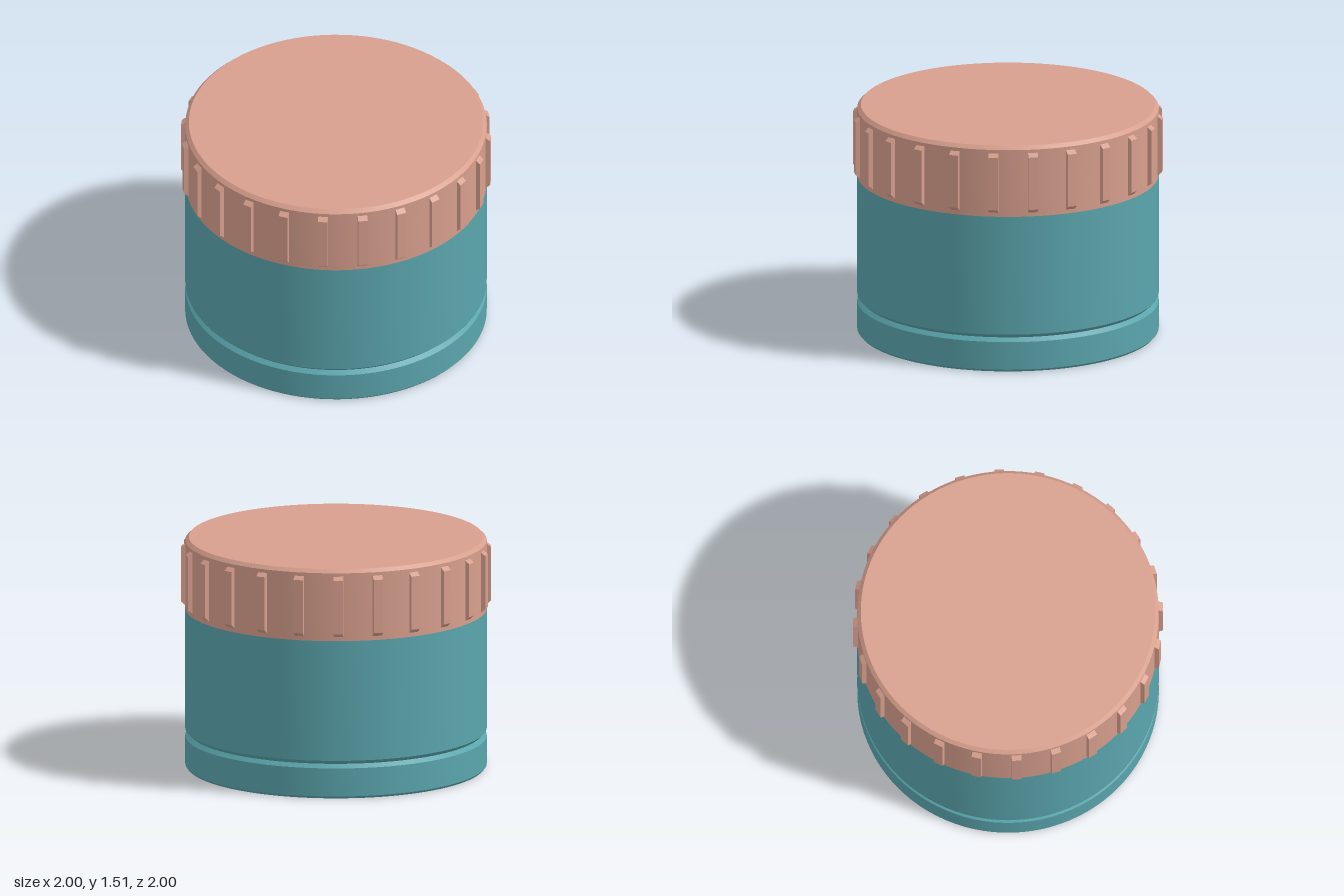
import * as THREE from 'three';
import { toCreasedNormals } from 'three/addons/utils/BufferGeometryUtils.js';

const SEGMENTS = 96;
const RIBS = 24;

// Revolve a bottom-to-top profile of [radius, y] pairs, keeping its edges crisp
function turned(name, profile, material) {
  const points = profile.map(([r, y]) => new THREE.Vector2(r, y));
  const geometry = toCreasedNormals(new THREE.LatheGeometry(points, SEGMENTS), Math.PI / 7);
  const mesh = new THREE.Mesh(geometry, material);
  mesh.name = name;
  return mesh;
}

export function createModel() {
  const model = new THREE.Group();
  model.name = 'jar';
  const teal = new THREE.MeshStandardMaterial({ color: 0x5aa5ad });
  const coral = new THREE.MeshStandardMaterial({ color: 0xd79f8d });

  // Body with a chamfered foot and a V groove
  model.add(turned('body', [
    [0, 0], [0.957, 0], [0.97, 0.015], [0.97, 0.2], [0.945, 0.225],
    [0.97, 0.25], [0.97, 1.04], [0, 1.04],
  ], teal));

  // Lid with a chamfered rim
  const lid = new THREE.Group();
  lid.name = 'lid';
  lid.add(turned('lidCap', [
    [0, 1.04], [0.97, 1.04], [0.97, 1.487], [0.947, 1.51], [0, 1.51],
  ], coral));

  // Grip ribs: a bevelled side outline, extruded and set slightly off the radius
  const outline = new THREE.Shape([
    [0.95, 1.05], [0.998, 1.092], [0.998, 1.442], [0.95, 1.48],
  ].map(([r, y]) => new THREE.Vector2(r, y)));
  const ribGeometry = new THREE.ExtrudeGeometry(outline, { depth: 0.062, bevelEnabled: false });
  ribGeometry.translate(0, 0, -0.051);
  for (let i = 0; i < RIBS; i++) {
    const rib = new THREE.Mesh(ribGeometry, coral);
    rib.name = 'gripRib';
    rib.rotation.y = (i / RIBS) * Math.PI * 2;
    lid.add(rib);
  }
  model.add(lid);
  return model;
}
